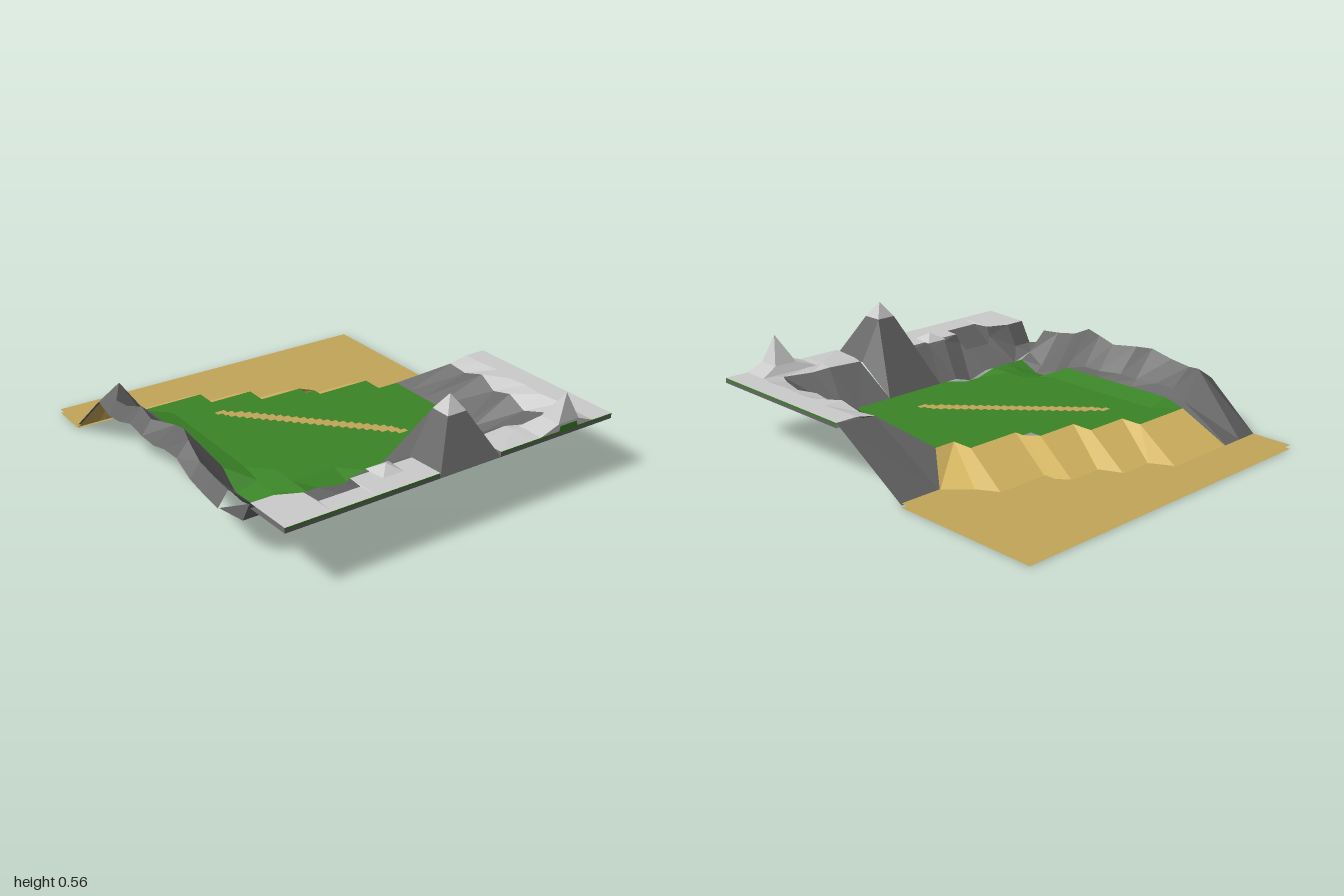
import * as THREE from 'three';

const mat = (color) => new THREE.MeshStandardMaterial({ color, flatShading: true, side: THREE.DoubleSide });

// Surface lofted through rows of [x, y, z] points
function sheet(name, rows, material, closed = false) {
  const pos = [];
  for (let i = 0; i < rows.length - 1; i++) {
    const n = rows[i].length;
    for (let j = 0; j < (closed ? n : n - 1); j++) {
      const k = (j + 1) % n;
      const a = rows[i][j], b = rows[i + 1][j], c = rows[i + 1][k], d = rows[i][k];
      pos.push(...a, ...b, ...c, ...a, ...c, ...d);
    }
  }
  const g = new THREE.BufferGeometry();
  g.setAttribute('position', new THREE.Float32BufferAttribute(pos, 3));
  g.computeVertexNormals();
  const m = new THREE.Mesh(g, material);
  m.name = name;
  return m;
}

// Flat polygon of [x, z] points at height y
function flat(name, pts, y, material) {
  const g = new THREE.ShapeGeometry(new THREE.Shape(pts.map(([x, z]) => new THREE.Vector2(x, z))));
  g.rotateX(Math.PI / 2).translate(0, y, 0);
  const m = new THREE.Mesh(g, material);
  m.name = name;
  return m;
}

// Rectangular ring for peaks
const ring = (x0, x1, z0, z1, y) => [[x0, y, z0], [x1, y, z0], [x1, y, z1], [x0, y, z1]];
const apex = (x, y, z) => ring(x, x, z, z, y);

// Height of the meadow: flat with a raised left edge, a pit and a dent
function grassY(x, z) {
  if (x < -0.5 && z > 0.3 && z < 0.5) return x < -0.6 ? 0.09 : 0.12;
  if (x < -0.2 && x > -0.4 && z > 0.5) return 0.11;
  if (x < -0.6 && z > -0.45 && z < 0.25) return 0.17;
  return 0.14;
}

export function createModel() {
  const group = new THREE.Group();
  const sand = mat(0xc2a558), sandLight = mat(0xd6b661), grass = mat(0x3a8426);
  const rock = mat(0x666666), cap = mat(0xcccccc), dirt = mat(0x8a6c50);

  // Stepped sand bank between meadow and beach
  const inner = [[-0.68, -0.53], [-0.36, -0.53], [-0.36, -0.42], [-0.14, -0.42], [-0.14, -0.31], [0.08, -0.31],
    [0.13, -0.25], [0.13, -0.2], [0.41, -0.2], [0.41, -0.09], [0.52, -0.09]];
  const outer = [[-0.68, -0.79], [-0.31, -0.79], [-0.25, -0.68], [-0.08, -0.68], [-0.03, -0.57], [0.14, -0.57],
    [0.19, -0.51], [0.19, -0.45], [0.46, -0.45], [0.52, -0.35], [0.63, -0.24]];
  group.add(sheet('sandBank', [inner.map(([x, z]) => [x, 0.14, z]), outer.map(([x, z]) => [x, 0.01, z])], sandLight));

  // Beach: upper and lower sheets
  const beach = [[-0.905, -1], [0.845, -1], [0.845, -0.24], ...[...outer].reverse(), [-0.905, -0.79]];
  group.add(flat('beach', beach, 0.02, sand), flat('beachUnderside', beach, 0, sand));

  // Meadow cells in front of the stepped bank
  const xs = [-0.68, -0.57, -0.47, -0.36, -0.25, -0.14, -0.03, 0.08, 0.13, 0.3, 0.41, 0.52];
  const zs = [-0.53, -0.42, -0.31, -0.25, -0.2, -0.09, 0.02, 0.12, 0.23, 0.34, 0.46, 0.57];
  const backEdge = (x) => (x < -0.36 ? -0.53 : x < -0.14 ? -0.42 : x < 0.08 ? -0.31 : x < 0.13 ? -0.25 : x < 0.41 ? -0.2 : -0.09);
  const meadow = new THREE.Group();
  meadow.name = 'meadow';
  for (let i = 0; i < xs.length - 1; i++) {
    const start = backEdge((xs[i] + xs[i + 1]) / 2);
    const rows = zs.filter((z) => z >= start - 0.001)
      .map((z) => [xs[i], xs[i + 1]].map((x) => [x, grassY(x, z), z]));
    meadow.add(sheet('meadowStrip', rows, grass));
  }
  group.add(meadow);

  // Jagged diagonal path
  const left = [], right = [];
  for (let i = 0; i < 24; i++) {
    const z0 = -0.3 + i * 0.028, z1 = z0 + 0.028;
    const x = i < 20 ? -0.385 + i * 0.0262 : 0.14 + (i - 20) * 0.022;
    const w = i > 1 && i < 22 ? 0.038 : 0.026;
    left.push([x - w, 0.146, z0], [x - w, 0.146, z1]);
    right.push([x + w, 0.146, z0], [x + w, 0.146, z1]);
  }
  group.add(sheet('path', [left, right], sand));

  // Bare earth beneath the meadow
  group.add(flat('earthPatch', [[0.45, 0.43], [0.42, 0.1], [0.38, -0.08], [0.12, -0.14], [-0.12, -0.26],
    [-0.33, -0.38], [-0.53, -0.43], [-0.5, -0.2], [-0.38, 0.05], [-0.2, 0.24], [0.08, 0.42]], 0.135, dirt));

  // Left ridge: z, crest x, crest y, inner x
  const ridge = [[-0.53, -0.79, 0.315, -0.69], [-0.42, -0.86, 0.285, -0.74], [-0.31, -0.86, 0.3, -0.74],
    [-0.2, -0.84, 0.335, -0.72], [-0.09, -0.85, 0.32, -0.73], [0.02, -0.79, 0.32, -0.69], [0.12, -0.8, 0.345, -0.69],
    [0.23, -0.84, 0.35, -0.7], [0.34, -0.85, 0.3, -0.7], [0.46, -0.85, 0.28, -0.72], [0.57, -0.85, 0.27, -0.74]];
  const ridgeRows = ridge.map(([z, cx, cy, ix]) => {
    const foot = grassY(-0.68, z);
    return [[-0.9, cy - 0.07, z], [cx, cy, z], [ix, foot + 0.03, z], [-0.68, foot, z]];
  });
  const ridgeFoot = [-0.905, -0.79, -0.69, -0.68].map((x) => [x, 0.02, -0.79]);
  group.add(sheet('leftRidge', [ridgeFoot, ...ridgeRows], rock));
  group.add(sheet('ridgeEndUnderside', [ridgeFoot, ridgeRows[0]].map((r) => r.map(([x, y, z]) => [x, y - 0.012, z])), sand));

  // Ramp from the beach up to the right-hand rim
  group.add(sheet('rightRamp', [[[0.52, 0.14, -0.09], [0.63, 0.01, -0.24], [0.845, 0.01, -0.24]],
    [[0.52, 0.14, 0.02], [0.69, 0.28, 0.12], [0.9, 0.3, 0.12]]], rock));

  // Cliff sections round the edge: foot, crest, step, outer rim
  const side = (zf, cx, cy, zc) => [[0.52, 0.14, zf], [cx, cy, zc], [cx + 0.1, 0.3, zc], [0.9, 0.3, zc]];
  const front = (x, cy, cz, sy, sz) => [[x, grassY(x, 0.57), 0.57], [x, cy, cz], [x, sy, sz], [x, 0.3, 0.99]];
  const rightCliff = [side(0.02, 0.69, 0.28, 0.12), side(0.12, 0.69, 0.27, 0.23), side(0.23, 0.7, 0.3, 0.34),
    side(0.46, 0.68, 0.26, 0.45), side(0.5, 0.69, 0.28, 0.55), side(0.57, 0.68, 0.24, 0.66), side(0.57, 0.69, 0.28, 0.79),
    [[0.52, 0.14, 0.57], [0.66, 0.28, 0.86], [0.76, 0.3, 0.9], [0.9, 0.3, 0.99]],
    front(0.52, 0.28, 0.82, 0.295, 0.86), front(0.43, 0.29, 0.8, 0.3, 0.86), front(0.24, 0.28, 0.8, 0.29, 0.84)];
  const leftCliff = [front(-0.09, 0.28, 0.77, 0.29, 0.8), front(-0.2, 0.27, 0.77, 0.29, 0.8), front(-0.3, 0.28, 0.77, 0.29, 0.8),
    front(-0.41, 0.25, 0.77, 0.29, 0.8), front(-0.415, 0.2, 0.77, 0.29, 0.88), front(-0.62, 0.2, 0.77, 0.29, 0.88),
    front(-0.63, 0.24, 0.77, 0.29, 0.79),
    [[-0.74, 0.17, 0.57], [-0.74, 0.18, 0.68], [-0.74, 0.29, 0.74], [-0.74, 0.3, 0.99]],
    [[-0.895, 0.2, 0.57], [-0.85, 0.18, 0.68], [-0.85, 0.29, 0.74], [-0.85, 0.3, 0.99]]];
  for (const [name, rows] of [['rightCliff', rightCliff], ['frontLeftCliff', leftCliff]]) {
    const split = name === 'rightCliff' ? 1 : 2;
    group.add(sheet(name, rows.map((r) => r.slice(0, split + 1)), rock));
    group.add(sheet(name + 'Rim', rows.map((r) => r.slice(split)), cap));
    // Thin grass lip over a rock edge, with a rock underside
    const edge = rows.map((r) => r[3]).filter((p, i) => name !== 'rightCliff' || i < 8 || p[2] > 0.98);
    const at = (y) => edge.map(([x, , z]) => [x, y, z]);
    group.add(sheet(name + 'GrassLip', [at(0.3), at(0.29)], grass));
    group.add(sheet(name + 'Edge', [at(0.29), at(0.275)], rock));
    group.add(sheet(name + 'Underside', rows.map((r) => r.slice(split).map(([x, y, z]) => [x, y - 0.025, z])), rock));
  }

  // Tall central peak with a pale tip
  group.add(sheet('tallPeak', [
    [[-0.09, 0.14, 0.57], [0.24, 0.14, 0.57], [0.24, 0.28, 0.78], [0.24, 0.275, 0.99], [-0.09, 0.275, 0.99], [-0.09, 0.28, 0.78]],
    [[0.03, 0.48, 0.78], [0.13, 0.48, 0.78], [0.13, 0.48, 0.78], [0.13, 0.48, 0.88], [0.03, 0.48, 0.88], [0.03, 0.48, 0.78]],
  ], rock, true));
  group.add(sheet('tallPeakTip', [ring(0.03, 0.13, 0.78, 0.88, 0.48), apex(0.08, 0.555, 0.83)], cap, true));

  // Small corner peak with a grassy foot, and a low bump
  group.add(sheet('smallPeak', [ring(0.47, 0.78, 0.85, 0.99, 0.3), ring(0.57, 0.69, 0.88, 0.99, 0.335),
    apex(0.63, 0.465, 0.965)], cap, true));
  group.add(sheet('smallPeakGrass', [[[0.575, 0.3, 0.992], [0.685, 0.3, 0.992]], [[0.58, 0.325, 0.992], [0.68, 0.325, 0.992]]], grass));
  group.add(sheet('lowBump', [ring(-0.31, -0.19, 0.77, 0.89, 0.29), apex(-0.25, 0.325, 0.83)], cap, true));
  return group;
}
